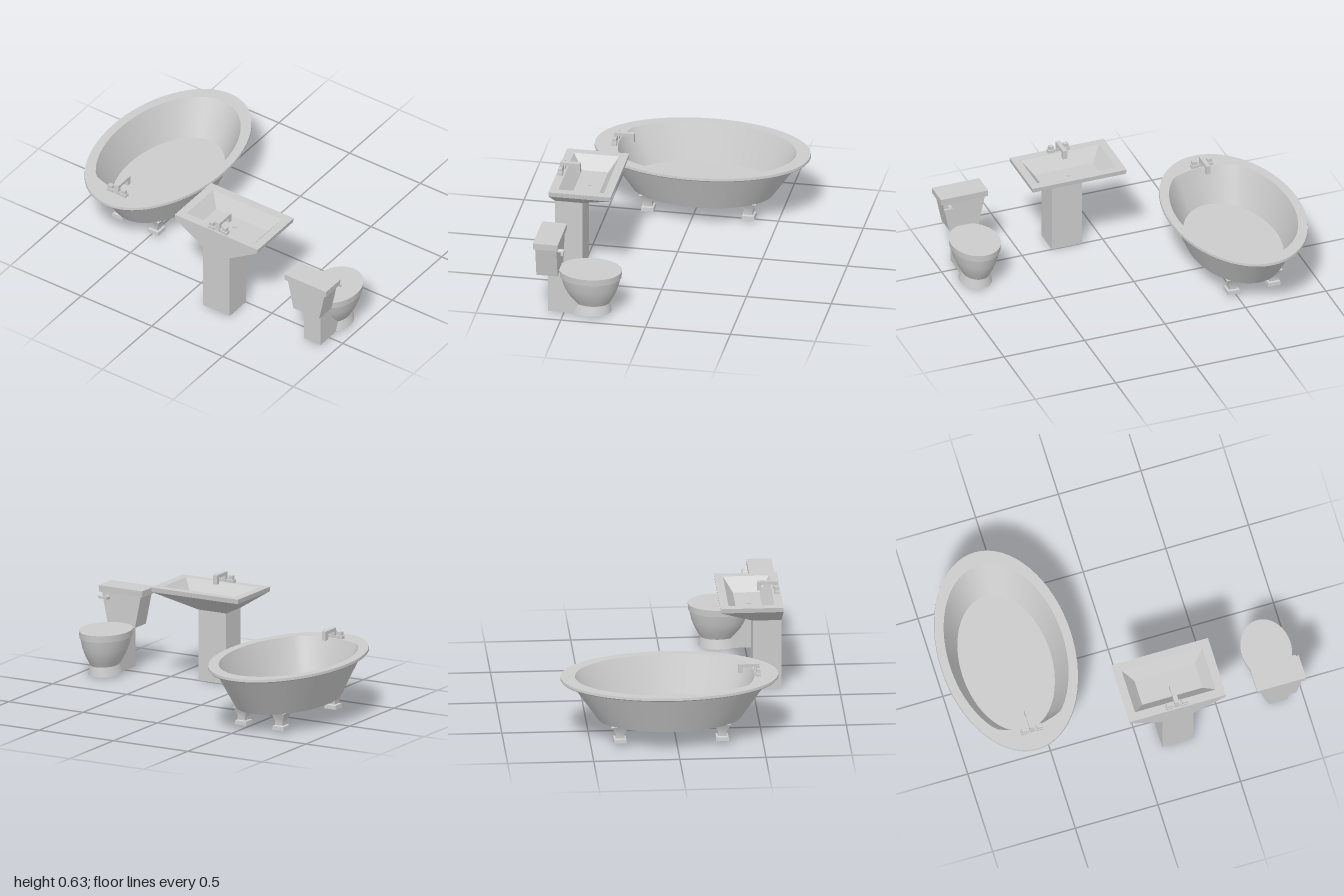
import * as THREE from 'three';
import { toCreasedNormals } from 'three/addons/utils/BufferGeometryUtils.js';

const material = new THREE.MeshStandardMaterial({ color: 0xcccccc, side: THREE.DoubleSide });

// Horizontal loops of [x, y, z] points, all running from +x towards +z
function ellipse(cx, y, cz, rx, rz, limit) {
  return Array.from({ length: 64 }, (_, i) => {
    const t = (i / 64) * Math.PI * 2;
    const x = rx * Math.cos(t);
    const z = cz + rz * Math.sin(t);
    return [cx + x, y, limit ? Math.min(z, limit(x)) : z];
  });
}
function rect(cx, y, halfX, z0, z1) {
  return [[cx + halfX, y, z0], [cx + halfX, y, z1], [cx - halfX, y, z1], [cx - halfX, y, z0]];
}

// Skin over a stack of loops, with both ends capped
function loft(name, rings, crease = 0.45) {
  const n = rings[0].length;
  const points = rings.flat();
  const index = [];
  for (let i = 0; i < rings.length - 1; i++) {
    for (let j = 0; j < n; j++) {
      const k = (j + 1) % n;
      const a = i * n + j, b = i * n + k, c = b + n, d = a + n;
      index.push(a, d, c, a, c, b);
    }
  }
  const last = (rings.length - 1) * n;
  for (let j = 1; j < n - 1; j++) {
    index.push(0, j, j + 1, last, last + j + 1, last + j);
  }
  const geometry = new THREE.BufferGeometry();
  geometry.setAttribute('position', new THREE.Float32BufferAttribute(points.flat(), 3));
  geometry.setIndex(index);
  return part(name, toCreasedNormals(geometry, crease));
}

function part(name, geometry, x = 0, y = 0, z = 0) {
  const mesh = new THREE.Mesh(geometry, material);
  mesh.name = name;
  mesh.position.set(x, y, z);
  return mesh;
}

function group(name, ...children) {
  const g = new THREE.Group();
  g.name = name;
  g.add(...children);
  return g;
}

// Mixer tap standing at the origin, spout pointing to -z
function tap(name, x, y, z) {
  const profile = new THREE.Shape([
    [-0.014, 0], [0.01, 0], [0.01, 0.041], [0.087, 0.041], [0.087, 0.006],
    [0.111, 0.006], [0.111, 0.06], [-0.008, 0.06],
  ].map(([u, v]) => new THREE.Vector2(u, v)));
  const spout = new THREE.ExtrudeGeometry(profile, { depth: 0.026, bevelEnabled: false });
  spout.translate(0, 0, -0.013).rotateY(Math.PI / 2);
  const g = group(name,
    part('spout', spout),
    part('tapBase', new THREE.BoxGeometry(0.13, 0.016, 0.018), 0, 0.008, 0));
  for (const side of [-1, 1]) {
    const cx = side * 0.046;
    g.add(loft('tapHandle', [
      rect(cx, 0, 0.021, -0.015, 0.015),
      rect(cx, 0.018, 0.02, -0.015, 0.015),
      rect(cx, 0.02, 0.015, -0.012, 0.012),
      rect(cx, 0.042, 0.014, -0.012, 0.012),
    ]));
  }
  g.position.set(x, y, z);
  return g;
}

function bathtub() {
  const cx = -0.607, cz = -0.034;
  // The opening is flattened at the tap end
  const tapEdge = (x) => 0.46 - 1.2 * x * x;
  const g = group('bathtub',
    loft('tub', [
      ellipse(cx, 0.12, cz, 0.26, 0.418),
      ellipse(cx, 0.355, cz, 0.362, 0.58),
      ellipse(cx, 0.355, cz, 0.386, 0.628),
      ellipse(cx, 0.362, cz, 0.393, 0.634),
      ellipse(cx, 0.377, cz, 0.391, 0.632),
      ellipse(cx, 0.377, cz, 0.34, 0.549, tapEdge),
      ellipse(cx, 0.16, cz, 0.265, 0.43),
    ]),
    tap('tubTap', cx, 0.376, 0.479));
  // Four square feet, flared at both ends
  for (const sx of [-1, 1]) {
    for (const sz of [-1, 1]) {
      const x = cx + sx * 0.126, z = cz + sz * 0.297;
      const level = (y, h) => rect(x, y, h, z - h, z + h);
      g.add(loft('tubFoot', [
        level(0.02, 0.038), level(0.043, 0.036), level(0.047, 0.025),
        level(0.078, 0.026), level(0.122, 0.047),
      ]));
    }
  }
  return g;
}

function washbasin() {
  const cx = 0.221;
  return group('washbasin',
    loft('pedestal', [rect(cx, 0, 0.094, 0.5, 0.665), rect(cx, 0.425, 0.094, 0.5, 0.665)]),
    loft('basin', [
      rect(cx, 0.423, 0.094, 0.5, 0.665),
      rect(cx, 0.545, 0.289, 0.302, 0.665),
      rect(cx, 0.573, 0.293, 0.298, 0.665),
      rect(cx, 0.573, 0.244, 0.348, 0.615),
      rect(cx, 0.495, 0.183, 0.402, 0.556),
    ]),
    part('drain', new THREE.CylinderGeometry(0.011, 0.011, 0.004, 16), cx, 0.497, 0.48),
    tap('basinTap', cx, 0.572, 0.641));
}

function toilet() {
  const cx = 0.85;
  const bowl = (y, rx, rz, z) => ellipse(cx, y, z, rx, rz);
  return group('toilet',
    loft('bowl', [
      bowl(0.01, 0.094, 0.117, 0.348),
      bowl(0.066, 0.078, 0.104, 0.344),
      bowl(0.09, 0.091, 0.12, 0.346),
      bowl(0.125, 0.109, 0.142, 0.349),
      bowl(0.17, 0.126, 0.162, 0.352),
      bowl(0.232, 0.139, 0.178, 0.354),
    ]),
    loft('seatLid', [bowl(0.23, 0.143, 0.182, 0.354), bowl(0.27, 0.146, 0.185, 0.354)]),
    loft('rearPost', [rect(cx, 0.006, 0.058, 0.4, 0.594), rect(cx, 0.255, 0.058, 0.4, 0.594)]),
    loft('tank', [rect(cx, 0.25, 0.091, 0.53, 0.655), rect(cx, 0.442, 0.131, 0.53, 0.655)]),
    loft('tankLid', [
      rect(cx, 0.44, 0.145, 0.521, 0.665),
      rect(cx, 0.478, 0.147, 0.519, 0.665),
    ]),
    // Flush handle on the bowl side of the tank
    part('flushKnob', new THREE.CylinderGeometry(0.013, 0.013, 0.036, 16).rotateX(Math.PI / 2),
      0.938, 0.414, 0.514),
    part('flushLever', new THREE.BoxGeometry(0.058, 0.014, 0.012), 0.957, 0.415, 0.497));
}

export function createModel() {
  return group('bathroomSet', bathtub(), washbasin(), toilet());
}
